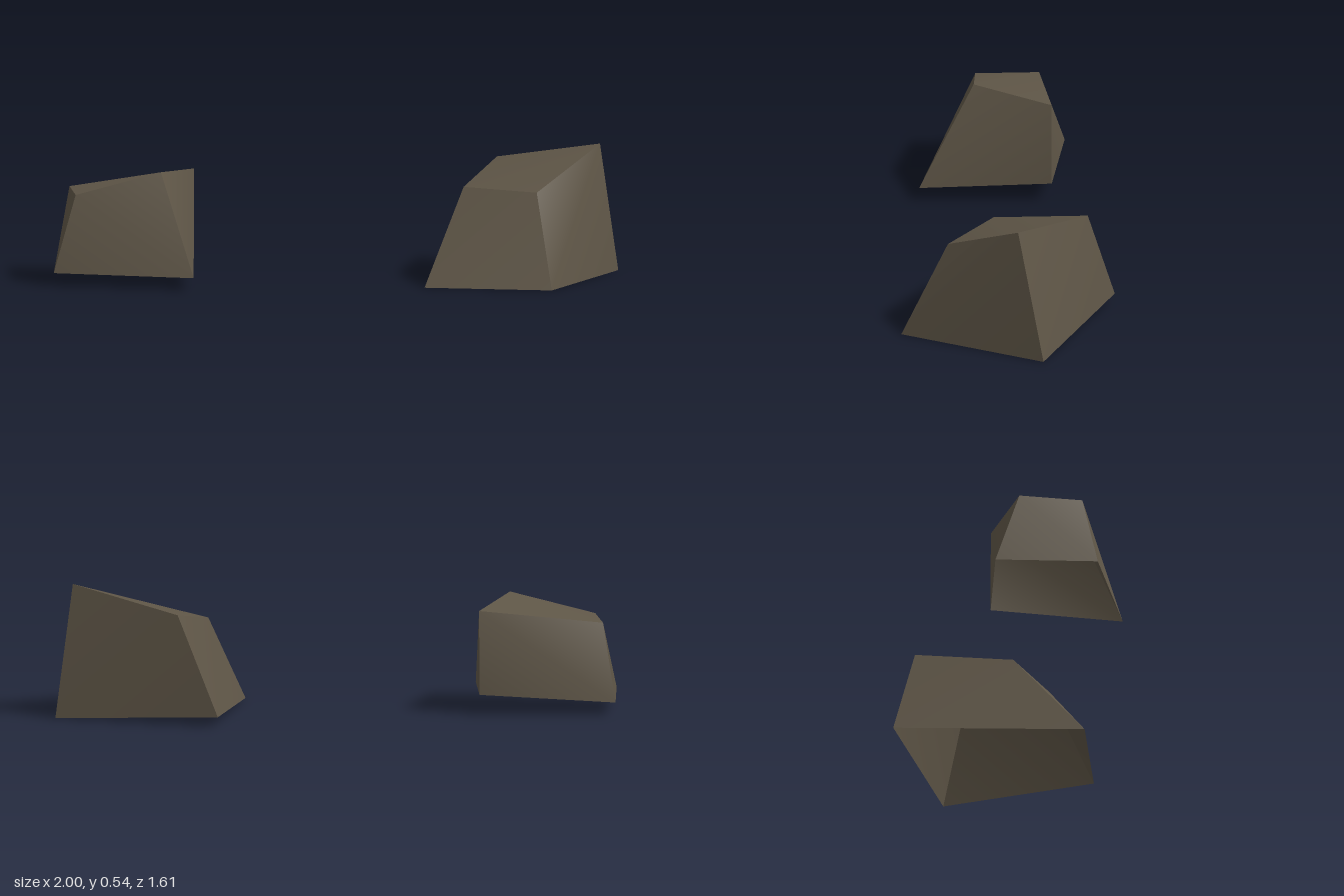
import * as THREE from 'three';

// Four-sided rock shell, open underneath. Rings run counter-clockwise seen from above.
function rockGeometry(base, top) {
  const b = base.map(p => new THREE.Vector3(...p));
  const t = top.map(p => new THREE.Vector3(...p));
  const faces = [t];
  for (let i = 0; i < 4; i++) {
    const j = (i + 1) % 4;
    faces.push([b[i], b[j], t[j], t[i]]);
  }
  const positions = [], index = [];
  faces.forEach((q, f) => {
    q.forEach(p => positions.push(p.x, p.y, p.z));
    // split each uneven face along its outward-bulging diagonal
    const n = q[2].clone().sub(q[0]).cross(q[3].clone().sub(q[1]));
    const bulges = q[0].clone().sub(q[1]).dot(n) + q[2].clone().sub(q[3]).dot(n) >= 0;
    const corners = bulges ? [0, 1, 2, 0, 2, 3] : [0, 1, 3, 1, 2, 3];
    corners.forEach(c => index.push(f * 4 + c));
  });
  const geometry = new THREE.BufferGeometry();
  geometry.setAttribute('position', new THREE.Float32BufferAttribute(positions, 3));
  geometry.setIndex(index);
  geometry.computeVertexNormals(); // soft within a face, sharp between faces
  return geometry;
}

export function createModel() {
  const group = new THREE.Group();
  group.name = 'rocks';
  const stone = new THREE.MeshStandardMaterial({ color: 0x5f5647, side: THREE.DoubleSide });
  stone.name = 'brown stone';

  const addRock = (name, base, top) => {
    const mesh = new THREE.Mesh(rockGeometry(base, top), stone);
    mesh.name = name;
    group.add(mesh);
  };

  // small rock at the front right
  addRock('smallRock',
    [[-0.79, 0.05, 0.80], [-0.23, 0.05, 0.62], [-0.52, 0.08, 0.165], [-1, 0.05, 0.44]],
    [[-0.745, 0.363, 0.705], [-0.458, 0.455, 0.51], [-0.518, 0.425, 0.165], [-0.905, 0.363, 0.50]]);

  // large rock at the back left
  addRock('largeRock',
    [[0.52, 0, -0.05 + 0.10], [1, 0, -0.16], [0.91, 0, -0.805], [0.22, 0.04, -0.672]],
    [[0.505, 0.375, -0.27], [0.848, 0.375, -0.285], [0.905, 0.535, -0.675], [0.41, 0.445, -0.672]]);

  return group;
}
